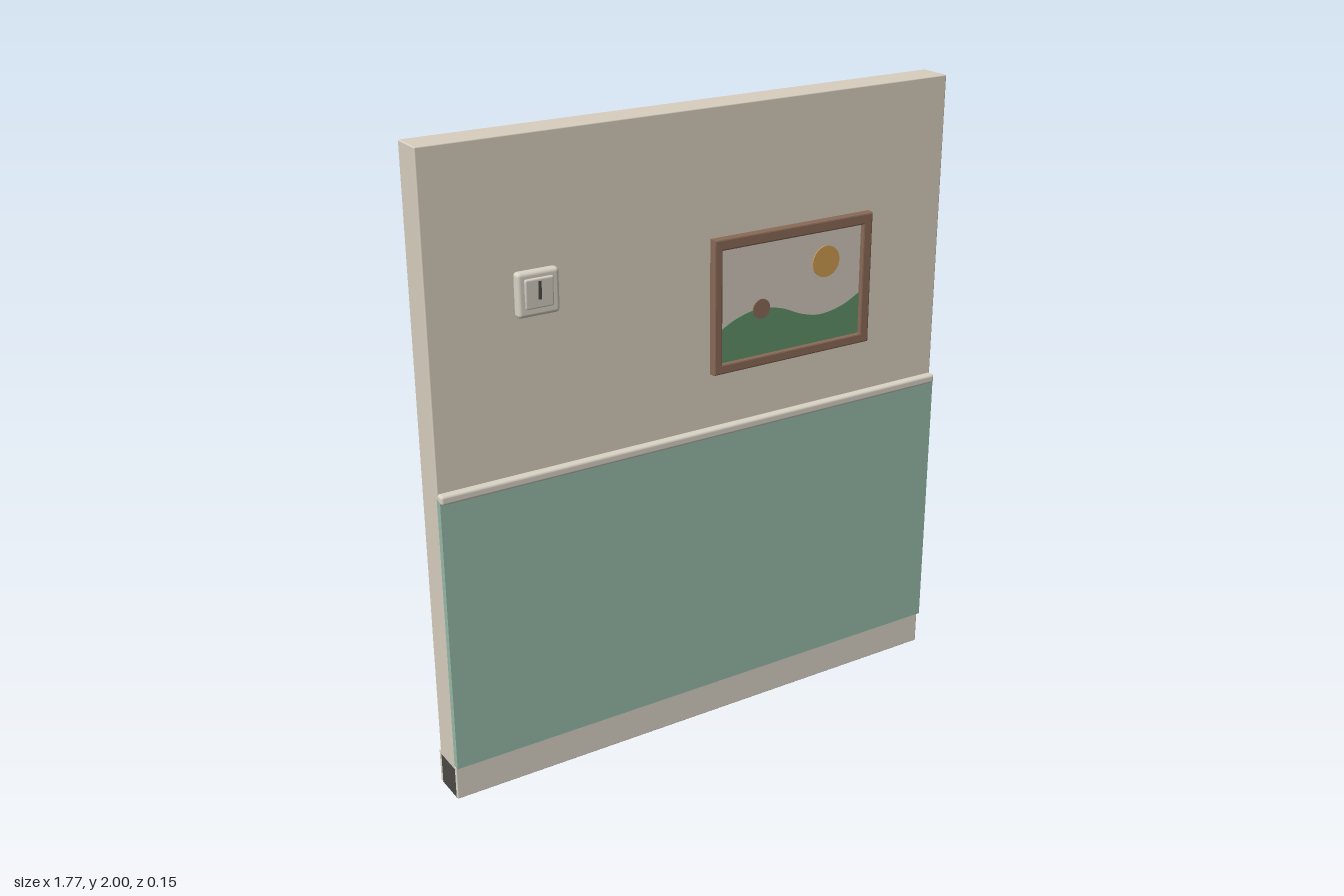
import * as THREE from 'three';
import { RoundedBoxGeometry } from 'three/addons/geometries/RoundedBoxGeometry.js';

const material = (name, color) => {
  const m = new THREE.MeshStandardMaterial({ color });
  m.name = name;
  return m;
};

export function createModel() {
  const group = new THREE.Group();
  const cream = material('cream paint', 0xd8cfbf);
  const trim = material('off-white trim', 0xdad4c6);
  const green = material('sage green', 0x97baa9);
  const brown = material('brown wood', 0x8a6a57);
  const canvas = material('canvas', 0xd2c9bd);
  const hillGreen = material('hill green', 0x5f9168);
  const ochre = material('ochre', 0xcf9c4f);
  const dark = material('dark grey', 0x4b4a46);

  const add = (name, geometry, mat, x = 0, y = 0, z = 0) => {
    const mesh = new THREE.Mesh(geometry, mat);
    mesh.name = name;
    mesh.position.set(x, y, z);
    group.add(mesh);
    return mesh;
  };
  // Rounded box given by its minimum and maximum corners
  const block = (name, mat, [x0, y0, z0], [x1, y1, z1], r) =>
    add(name, new RoundedBoxGeometry(x1 - x0, y1 - y0, z1 - z0, 3, r), mat,
      (x0 + x1) / 2, (y0 + y1) / 2, (z0 + z1) / 2);

  const W = 0.887;

  // Wall slab and the dark core at its foot
  block('wall', cream, [-W, 0.1, -0.065], [W, 2, 0.04], 0.004);
  add('footCore', new THREE.BoxGeometry(2 * W - 0.002, 0.104, 0.104), dark, 0, 0.052, -0.0135);

  // Skirting boards on both faces
  block('frontSkirting', trim, [-W, 0.001, 0.034], [W, 0.114, 0.046], 0.003);
  block('backSkirting', trim, [-W, 0.001, -0.075], [W, 0.114, -0.062], 0.003);

  // Wainscot panel and rail
  add('wainscotPanel', new THREE.BoxGeometry(2 * W, 0.885, 0.022), green, 0, 0.5575, 0.047);
  block('rail', trim, [-W, 0.988, 0.036], [W, 1.018, 0.066], 0.009);

  // Light switch: plate, tilted rocker and slot mark
  block('switchPlate', trim, [-0.624, 1.49, 0.036], [-0.492, 1.622, 0.068], 0.012);
  const rocker = block('switchRocker', trim, [-0.603, 1.513, 0.056], [-0.513, 1.603, 0.072], 0.006);
  rocker.rotation.x = 0.05;
  add('switchMark', new THREE.BoxGeometry(0.009, 0.053, 0.006), dark, -0.558, 1.567, 0.072);

  // Picture frame with a window cut through it
  const rect = (path, x0, y0, x1, y1) =>
    path.moveTo(x0, y0).lineTo(x1, y0).lineTo(x1, y1).lineTo(x0, y1).closePath();
  const outer = new THREE.Shape();
  const hole = new THREE.Path();
  const B = 0.005;
  rect(outer, 0.019 + B, 1.19 + B, 0.6 - B, 1.613 - B);
  rect(hole, 0.048 - B, 1.222 - B, 0.566 + B, 1.577 + B);
  outer.holes.push(hole);
  add('pictureFrame', new THREE.ExtrudeGeometry(outer, {
    depth: 0.02, bevelEnabled: true, bevelSize: B, bevelThickness: B, bevelSegments: 2,
  }), brown, 0, 0, 0.042);

  // Painted landscape, layered as thin plates
  add('pictureCanvas', new THREE.BoxGeometry(0.53, 0.367, 0.012), canvas, 0.307, 1.3995, 0.046);
  const hill = new THREE.Shape();
  hill.moveTo(0.566, 1.222);
  hill.lineTo(0.566, 1.356);
  hill.splineThru([[0.5, 1.325], [0.42, 1.311], [0.35, 1.324], [0.27, 1.357],
    [0.19, 1.371], [0.11, 1.355], [0.048, 1.326]].map(([x, y]) => new THREE.Vector2(x, y)));
  hill.lineTo(0.048, 1.222);
  hill.closePath();
  add('paintedHill', new THREE.ExtrudeGeometry(hill, { depth: 0.003, bevelEnabled: false, curveSegments: 32 }),
    hillGreen, 0, 0, 0.051);

  const disc = (name, mat, x, y, r) => {
    const geometry = new THREE.CylinderGeometry(r, r, 0.005, 32).rotateX(Math.PI / 2);
    add(name, geometry, mat, x, y, 0.053);
  };
  disc('paintedSun', ochre, 0.434, 1.479, 0.05);
  disc('paintedTree', brown, 0.196, 1.369, 0.031);

  return group;
}
